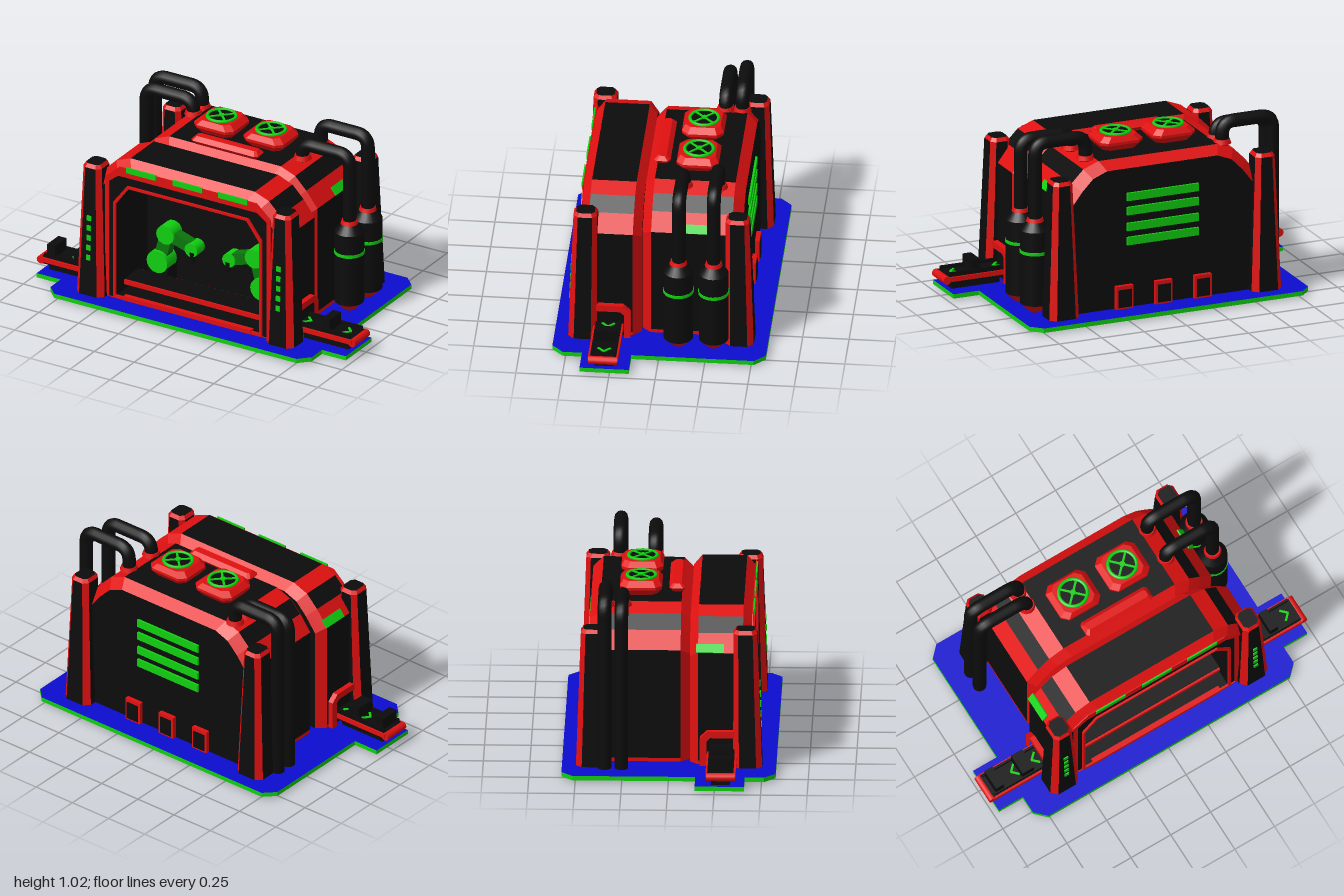
import * as THREE from 'three';

const mat = (name, color) => Object.assign(new THREE.MeshStandardMaterial({ color }), { name });
const V = (x, y, z) => new THREE.Vector3(x, y, z);

export function createModel() {
  const root = new THREE.Group();
  const red = mat('red trim', 0xe01010), black = mat('black panel', 0x0c0c0c);
  const green = mat('green light', 0x10d010), blue = mat('blue floor', 0x0c0cd0);
  const dark = mat('dark green', 0x0a780a);
  const palette = [black, red];

  const add = (name, geo, m, x = 0, y = 0, z = 0) => {
    const mesh = new THREE.Mesh(geo, m);
    mesh.name = name;
    mesh.position.set(x, y, z);
    root.add(mesh);
    return mesh;
  };
  const box = (name, m, w, h, d, x, y, z) => add(name, new THREE.BoxGeometry(w, h, d), m, x, y, z);
  const poly = pts => new THREE.Shape(pts.map(p => new THREE.Vector2(p[0], p[1])));
  const mirrorX = pts => [...pts, ...pts.slice().reverse().map(([x, y]) => [-x, y])];

  // Skin closed rings into a flat-faced solid; pick(edge, band) gives a palette index
  function loft(name, rings, pick, capEnd = 0) {
    const tris = [[], []], n = rings[0].length;
    for (let j = 0; j < rings.length - 1; j++) for (let i = 0; i < n; i++) {
      const k = (i + 1) % n, a = rings[j][i], b = rings[j][k], c = rings[j + 1][k], d = rings[j + 1][i];
      tris[pick(i, j)].push(a, b, c, a, c, d);
    }
    const cap = (ring, flip, m) => {
      const c = ring.reduce((s, p) => s.add(p), V(0, 0, 0)).divideScalar(n);
      ring.forEach((p, i) => {
        const q = ring[(i + 1) % n];
        tris[m].push(c, flip ? q : p, flip ? p : q);
      });
    };
    cap(rings[0], true, 0);
    if (capEnd >= 0) cap(rings[rings.length - 1], false, capEnd);
    const geo = new THREE.BufferGeometry().setFromPoints([...tris[0], ...tris[1]]);
    geo.addGroup(0, tris[0].length, 0);
    geo.addGroup(tris[0].length, tris[1].length, 1);
    geo.computeVertexNormals();
    return add(name, geo, palette);
  }

  // Square ring with cut corners, lying flat
  const octagon = (cx, y, cz, hx, hz, c) => [
    [hx, hz - c], [hx, c - hz], [hx - c, -hz], [c - hx, -hz],
    [-hx, c - hz], [-hx, hz - c], [c - hx, hz], [hx - c, hz]].map(([x, z]) => V(cx + x, y, cz + z));

  // Floor plate with side tabs
  const q = [[0.76, -0.575], [0.82, -0.515], [0.82, 0.145], [0.97, 0.145], [0.97, 0.41], [0.82, 0.41], [0.82, 0.515], [0.76, 0.575]];
  const floor = poly(mirrorX(q));
  add('floorPlate', new THREE.ExtrudeGeometry(floor, { depth: 0.025, bevelEnabled: false })
    .rotateX(Math.PI / 2), [blue, green], 0, 0.035, 0);
  add('floorUnderside', new THREE.ShapeGeometry(floor).rotateX(Math.PI / 2), black, 0, 0.008, 0);
  box('floorFoot', black, 1, 0.01, 0.27, 0, 0.005, 0.245);

  // Two hall sections with bevelled ends
  const hallProfile = w => mirrorX([[w, 0.035], [w, 0.055], [w, 0.67], [w - 0.07, 0.76], [w - 0.14, 0.83], [w - 0.23, 0.865]]);
  const inset = ([x, y]) => [x * 0.925, 0.035 + (y - 0.035) * 0.946];
  const edgeColour = [1, 0, 1, 0, 1, 0, 1, 0, 1, 0, 1, 0];
  function hall(name, w, zs, capEnd) {
    const full = hallProfile(w), small = full.map(inset);
    const rings = zs.map((z, i) => (i === 0 || i === 3 ? small : full).map(([x, y]) => V(x, y, z)));
    loft(name, rings, (i, j) => (j === 1 ? edgeColour[i] : 1), capEnd);
  }
  hall('rearHall', 0.58, [-0.43, -0.375, 0.06, 0.11], 0);
  hall('frontHall', 0.62, [0.11, 0.155, 0.395, 0.44], -1);

  // Work bay lining, opened at the front
  const arch = (w, low, high, c, y0) => mirrorX([[w, y0], [w, low], [w - c, high]]);
  const bay = poly(hallProfile(0.62).map(inset));
  bay.holes.push(poly(arch(0.45, 0.6, 0.71, 0.08, 0.05)));
  add('bayLining', new THREE.ExtrudeGeometry(bay, { depth: 0.32, bevelEnabled: false }), black, 0, 0, 0.12);

  // Red arches around the bay
  function archTrim(name, outer, inner, depth) {
    const s = poly(outer);
    s.holes.push(poly(inner));
    add(name, new THREE.ExtrudeGeometry(s, { depth, bevelEnabled: false }), red, 0, 0, 0.44);
  }
  archTrim('outerArch', arch(0.52, 0.745, 0.825, 0.09, 0.035), arch(0.495, 0.725, 0.77, 0.06, 0.037), 0.006);
  archTrim('innerArch', arch(0.465, 0.61, 0.722, 0.085, 0.037), arch(0.45, 0.6, 0.708, 0.08, 0.055), 0.012);
  box('baySill', red, 0.8, 0.025, 0.03, 0, 0.05, 0.44);
  for (const x of [-0.29, 0, 0.285]) box('archLight', green, 0.185, 0.032, 0.008, x, 0.818, 0.449);

  // Tapered corner pillars with lights on the front pair
  for (const sx of [-1, 1]) for (const sz of [-1, 1]) {
    const x = sx * 0.595;
    loft('cornerPillar', [
      octagon(x, 0.035, sz * 0.422, 0.087, 0.078, 0.032),
      octagon(x, 0.785, sz * 0.41, 0.057, 0.064, 0.025),
      octagon(x, 0.805, sz * 0.41, 0.044, 0.05, 0.018)], (i, j) => (j === 1 ? 1 : i % 2));
    if (sz > 0) for (let k = 0; k < 5; k++) {
      const y = 0.26 + k * 0.058;
      box('pillarLight', green, 0.026, 0.03, 0.012, x, y, 0.5 - (y - 0.035) * 0.035);
    }
  }

  // Green stripes on the sloping side bands
  for (const [s, w, z, len] of [[1, 0.58, -0.185, 0.12], [-1, 0.62, 0.22, 0.15]]) {
    box('sideStripe', green, 0.009, 0.05, len, s * (w - 0.012), 0.692, z).rotation.z = s * 0.66;
  }

  // Rear vents and sockets
  for (const y of [0.41, 0.49, 0.58, 0.66]) box('rearVent', green, 0.42, 0.045, 0.012, 0, y, -0.436);
  for (const x of [-0.23, 0, 0.23]) {
    box('rearSocket', red, 0.1, 0.13, 0.03, x, 0.1, -0.44);
    box('socketFace', black, 0.075, 0.1, 0.006, x, 0.095, -0.456);
  }

  // Roof fans
  for (const x of [-0.155, 0.155]) {
    const z = -0.16;
    loft('fanHousing', [
      octagon(x, 0.862, z, 0.095, 0.085, 0.03), octagon(x, 0.9, z, 0.125, 0.113, 0.035),
      octagon(x, 0.915, z, 0.125, 0.113, 0.035), octagon(x, 0.943, z, 0.095, 0.095, 0.03)], () => 1, 1);
    add('fanWell', new THREE.CylinderGeometry(0.085, 0.085, 0.006, 24), black, x, 0.944, z);
    add('fanRing', new THREE.TorusGeometry(0.077, 0.01, 6, 24).rotateX(Math.PI / 2), green, x, 0.945, z);
    add('fanHub', new THREE.CylinderGeometry(0.016, 0.016, 0.01, 12), green, x, 0.95, z);
    for (const a of [1, -1]) box('fanSpoke', green, 0.15, 0.006, 0.012, x, 0.949, z).rotation.y = a * Math.PI / 4;
  }
  loft('roofBar', [
    octagon(0, 0.862, 0.035, 0.19, 0.025, 0.01), octagon(0, 0.888, 0.035, 0.21, 0.045, 0.015),
    octagon(0, 0.91, 0.035, 0.19, 0.022, 0.01)], () => 1, 1);

  // Bent roof pipes: right pair starts on the tanks, left pair on the floor
  for (const [s, z, top, foot] of [[1, -0.1, 0.947, 0.54], [1, -0.288, 0.985, 0.54], [-1, -0.345, 0.975, 0.035], [-1, -0.255, 0.94, 0.035]]) {
    const path = new THREE.CurvePath(), r = 0.07, xo = s * 0.685, xi = s * 0.39;
    const line = (a, b) => path.add(new THREE.LineCurve3(a, b));
    const bend = (a, b, c) => path.add(new THREE.QuadraticBezierCurve3(a, b, c));
    const p = [V(xo, foot, z), V(xo, top - r, z), V(xo, top, z), V(xo - s * r, top, z),
      V(xi + s * r, top, z), V(xi, top, z), V(xi, top - r, z), V(xi, 0.85, z)];
    line(p[0], p[1]); bend(p[1], p[2], p[3]); line(p[3], p[4]); bend(p[4], p[5], p[6]); line(p[6], p[7]);
    add('roofPipe', new THREE.TubeGeometry(path, 80, 0.037, 12), black);
    add('pipeFlange', new THREE.CylinderGeometry(0.042, 0.05, 0.025, 12), red, xi, 0.87, z);
  }

  // Gas tanks
  const lathe = pts => new THREE.LatheGeometry(pts.map(p => new THREE.Vector2(p[0], p[1])), 20);
  for (const z of [-0.097, -0.287]) {
    add('tankBody', lathe([[0.08, 0.085], [0.08, 0.085], [0.08, 0.5], [0.08, 0.5], [0.045, 0.55]]), black, 0.685, 0, z);
    add('tankFoot', lathe([[0, 0.036], [0.03, 0.036], [0.08, 0.086]]), red, 0.685, 0, z);
    add('tankCollar', new THREE.CylinderGeometry(0.042, 0.048, 0.02, 20), red, 0.685, 0.556, z);
    add('tankBand', new THREE.CylinderGeometry(0.083, 0.083, 0.018, 20), green, 0.685, 0.38, z);
  }

  // Side hatches where the conveyor passes
  for (const s of [-1, 1]) {
    const hatch = poly([[0.165, 0.035], [0.165, 0.195], [0.205, 0.232], [0.36, 0.232], [0.36, 0.035]]);
    hatch.holes.push(poly([[0.2, 0.037], [0.2, 0.175], [0.22, 0.195], [0.35, 0.195], [0.35, 0.037]]));
    add('hatchFrame', new THREE.ExtrudeGeometry(hatch, { depth: 0.06, bevelEnabled: false })
      .translate(0, 0, -0.03).rotateY(-Math.PI / 2), red, s * 0.62);
    box('hatchOpening', black, 0.01, 0.155, 0.145, s * 0.622, 0.115, 0.275);
  }

  // Conveyor through the bay
  box('conveyorBelt', black, 1.94, 0.045, 0.14, 0, 0.093, 0.283);
  for (const z of [0.21, 0.358]) box('conveyorRail', red, 1.95, 0.026, 0.014, 0, 0.097, z);
  for (const s of [-1, 1]) {
    add('endRoller', new THREE.CylinderGeometry(0.023, 0.023, 0.155, 12).rotateX(Math.PI / 2), red, s * 0.977, 0.093, 0.284);
    box('conveyorFoot', black, 0.28, 0.04, 0.1, s * 0.8, 0.054, 0.283);
    for (const z of [0.222, 0.345]) box('beltGuard', black, 0.34, 0.02, 0.012, s * 0.79, 0.123, z);
    for (const x of s > 0 ? [0.66, 0.91] : [0.67, 0.8]) for (const k of [-1, 1]) {
      box('beltArrow', green, 0.05, 0.006, 0.012, s * x, 0.118, 0.283 + k * 0.016).rotation.y = k * s * Math.PI / 4;
    }
  }
  for (const [x, w] of [[-0.922, 0.05], [-0.745, 0.07], [0.803, 0.05]]) {
    box('beltCrate', black, w, 0.07, 0.12, x, 0.15, 0.284);
  }

  // Robot arms
  for (const s of [-1, 1]) {
    const z = 0.18, joints = [[0.325, 0.19, 0.065], [0.278, 0.36, 0.055], [0.118, 0.308, 0.04]];
    joints.forEach(([x, y, r], i) => {
      add('armJoint', new THREE.CylinderGeometry(r, r, 0.1 - i * 0.01, 16).rotateX(Math.PI / 2), green, s * x, y, z);
      if (!i) return;
      const [px, py] = joints[i - 1], dx = s * (x - px), dy = y - py;
      box('armLink', dark, Math.hypot(dx, dy), 0.085 - i * 0.01, 0.06, s * (x + px) / 2, (y + py) / 2, z)
        .rotation.z = Math.atan2(dy, dx);
    });
    box('armBase', black, 0.12, 0.12, 0.1, s * 0.325, 0.1, z - 0.01);
    add('gripper', new THREE.CylinderGeometry(0.018, 0.012, 0.06, 8), black, s * 0.112, 0.265, z + 0.03);
  }
  return root;
}
